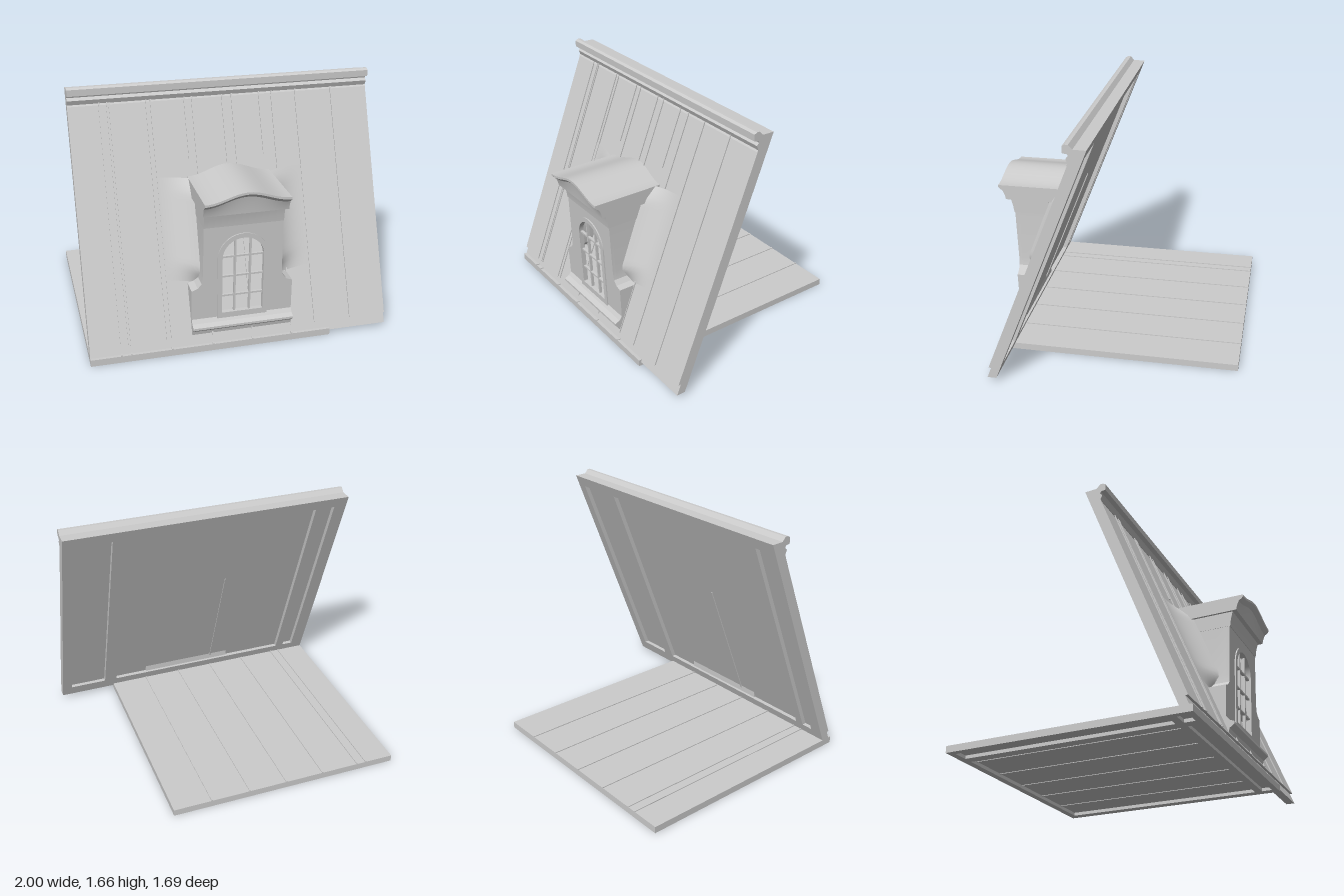
import * as THREE from 'three';
import { toCreasedNormals } from 'three/addons/utils/BufferGeometryUtils.js';

const material = new THREE.MeshStandardMaterial({ color: 0xcccccc });
const thin = new THREE.MeshStandardMaterial({ color: 0xcccccc, side: THREE.DoubleSide });

// Depth of the sloping roof face and of the dormer wall at a given height
const roofZ = (y) => 0.774 - 0.391 * y;
const wallZ = (y) => 0.715 + 0.037 * (y - 0.2);

export function createModel() {
  const model = new THREE.Group();

  const add = (name, geometry, mat = material) => {
    const mesh = new THREE.Mesh(geometry, mat);
    mesh.name = name;
    model.add(mesh);
    return mesh;
  };

  // Rewrites every vertex by a rule, then restores the normals
  const reshape = (geometry, rule) => {
    const p = geometry.attributes.position;
    const v = new THREE.Vector3();
    for (let i = 0; i < p.count; i++) {
      rule(v.fromBufferAttribute(p, i));
      p.setXYZ(i, v.x, v.y, v.z);
    }
    geometry.computeVertexNormals();
    return toCreasedNormals(geometry, 0.5);
  };

  const box = (name, x0, x1, y0, y1, z0, z1) => {
    const g = new THREE.BoxGeometry(x1 - x0, y1 - y0, z1 - z0);
    g.translate((x0 + x1) / 2, (y0 + y1) / 2, (z0 + z1) / 2);
    return add(name, g);
  };

  // Box sheared to lie on the roof slope; d is measured from the roof face
  const slopeBox = (name, x0, x1, y0, y1, d0, d1) => {
    const mesh = box(name, x0, x1, y0, y1, d0, d1);
    mesh.geometry = reshape(mesh.geometry, (v) => { v.z += roofZ(v.y); });
  };

  const polygon = (pts) => new THREE.Shape(pts.map(([a, b]) => new THREE.Vector2(a, b)));

  // [z, y] profile run along x
  const moulding = (name, pts, width, lift = () => 0, steps = 1) => {
    const g = new THREE.ExtrudeGeometry(polygon(pts), { depth: width, steps, bevelEnabled: false });
    g.rotateY(-Math.PI / 2).translate(width / 2, 0, 0);
    return add(name, reshape(g, (v) => { v.y += lift(v.x, v.y); }));
  };

  // Front-facing outline stretched between two depth rules
  const wall = (name, shape, back, front) => {
    const g = new THREE.ExtrudeGeometry(shape, { depth: 1, bevelEnabled: false, curveSegments: 20 });
    return add(name, reshape(g, (v) => {
      v.z = THREE.MathUtils.lerp(back(v.y), front(v.y), v.z);
    }));
  };

  // Floor: deck, ribs on top and a recessed frame below
  box('floorDeck', -1, 0.6, 0.022, 0.045, -0.845, 0.76);
  for (const [x0, x1] of [[-1, -0.96], [-0.86, -0.8], [0.54, 0.6]]) {
    box('floorFrameSide', x0, x1, 0, 0.024, -0.845, 0.76);
  }
  for (const [z0, z1] of [[-0.845, -0.8], [0.6, 0.65], [0.72, 0.76]]) {
    box('floorFrameEnd', -1, 0.6, 0, 0.024, z0, z1);
  }
  for (const x of [-0.8, -0.735, -0.47, -0.2, 0.065, 0.335]) {
    box('floorRib', x - 0.005, x + 0.005, 0.04, 0.051, -0.845, 0.76);
    box('floorUnderRib', x - 0.003, x + 0.003, 0.018, 0.024, -0.8, 0.6);
  }

  // Sloping roof: panel, lower band and back frame
  slopeBox('roofPanel', -1, 1, 0.1, 1.6, -0.045, 0);
  slopeBox('roofLowerBand', -1, 1, 0.027, 0.105, -0.077, -0.018);
  slopeBox('roofTopFrame', -1, 1, 1.56, 1.633, -0.077, -0.03);
  for (const [x0, x1] of [[-1, -0.91], [-0.83, -0.77], [0.58, 0.67], [0.93, 1]]) {
    slopeBox('roofBackBar', x0, x1, 0.1, 1.57, -0.077, -0.03);
  }
  slopeBox('roofBackSeam', -0.204, -0.196, 0.1, 1.0, -0.052, -0.04);

  // Standing seams; those above the dormer stop short
  const seams = [[-0.8, 0.1], [-0.75, 0.1], [-0.735, 0.1], [-0.5, 0.1], [-0.47, 0.1],
    [-0.25, 1.17], [-0.2, 0.1], [0, 1.1], [0.065, 0.1], [0.25, 1.17], [0.335, 0.1],
    [0.5, 0.1], [0.75, 0.1]];
  for (const [x, y0] of seams) {
    slopeBox('roofSeam', x - 0.004, x + 0.004, y0, 1.55, -0.01, 0.008);
  }

  // Ridge moulding
  moulding('ridgeMoulding', [[0.06, 1.633], [0.075, 1.595], [0.15, 1.53], [0.178, 1.535],
    [0.17, 1.545], [0.182, 1.575], [0.166, 1.592], [0.172, 1.605], [0.203, 1.61],
    [0.203, 1.652], [0.185, 1.662], [0.165, 1.662], [0.14, 1.635]], 2);

  // Dormer body: hollow shell with a stepped foot
  const half = [[0.335, 0.16], [0.335, 0.43], [0.295, 0.445], [0.27, 0.475], [0.262, 0.53], [0.257, 0.97]];
  const outline = (inset) => polygon([
    ...half.map(([x, y], i) => [x - inset, i === 0 ? y + inset : y]),
    ...half.map(([x, y], i) => [inset - x, i === 0 ? y + inset : y]).reverse(),
  ]);
  const shell = outline(0);
  const inner = outline(0.025).getPoints().map((p) => new THREE.Vector2(p.x, Math.min(p.y, 0.95)));
  shell.holes.push(new THREE.Path(inner));
  wall('dormerCheeks', shell, (y) => roofZ(y) - 0.035, (y) => wallZ(y) - 0.02);

  // Arched window opening, its frame and bars
  const arch = (Type, r, y0) => {
    const s = new Type();
    s.moveTo(-r, y0);
    s.lineTo(r, y0);
    s.lineTo(r, 0.645);
    s.absarc(0, 0.645, r, 0, Math.PI, false);
    s.lineTo(-r, y0);
    return s;
  };
  const face = outline(0);
  face.holes.push(arch(THREE.Path, 0.145, 0.235));
  wall('dormerFront', face, (y) => wallZ(y) - 0.03, wallZ);
  const frame = arch(THREE.Shape, 0.167, 0.205);
  frame.holes.push(arch(THREE.Path, 0.136, 0.25));
  wall('windowFrame', frame, (y) => wallZ(y) - 0.025, (y) => wallZ(y) + 0.008);
  const bar = (x0, x1, y0, y1) => wall('windowBar', polygon([[x0, y0], [x1, y0], [x1, y1], [x0, y1]]),
    (y) => wallZ(y) - 0.022, (y) => wallZ(y) - 0.004);
  for (const x of [-0.05, 0.05]) bar(x - 0.006, x + 0.006, 0.245, 0.775);
  for (const y of [0.37, 0.51, 0.65]) bar(-0.14, 0.14, y - 0.006, y + 0.006);

  // Sill
  moulding('windowSill', [[0.67, 0.11], [0.728, 0.11], [0.735, 0.14], [0.768, 0.165], [0.768, 0.18],
    [0.735, 0.195], [0.717, 0.22], [0.67, 0.22]], 0.67);

  // Cornice with a bell-shaped top that runs back into the roof
  const bell = (x) => 0.058 * Math.cos(Math.min(1, Math.abs(x) / 0.27) * Math.PI / 2) ** 2;
  moulding('dormerHeader', [[0.5, 0.87], [0.744, 0.87], [0.752, 0.92], [0.767, 0.975], [0.5, 0.975]], 0.52);
  moulding('dormerRoof', [[0.36, 0.97], [0.795, 0.97], [0.802, 1.0], [0.815, 1.03], [0.835, 1.045],
    [0.845, 1.055], [0.845, 1.07], [0.315, 1.07]], 0.55,
  (x, y) => bell(x) * THREE.MathUtils.clamp((y - 0.97) / 0.06, 0, 1), 24);

  // Curved flashing from the cheeks out onto the roof
  for (const side of [-1, 1]) {
    const g = new THREE.PlaneGeometry(1, 1, 12, 20);
    add('cheekFlashing', reshape(g, (v) => {
      const u = v.x + 0.5;
      const t = v.y + 0.5;
      const height = 0.1 * Math.min(1, t * 6, 0.4 + (1 - t) * 5);
      v.x = side * (0.255 + 0.245 * u);
      v.y = 0.43 + 0.64 * t + u * (0.04 - 0.03 * t);
      v.z = roofZ(v.y) + 0.003 + height * (1 - u) ** 2.5;
    }), thin);
  }

  return model;
}
